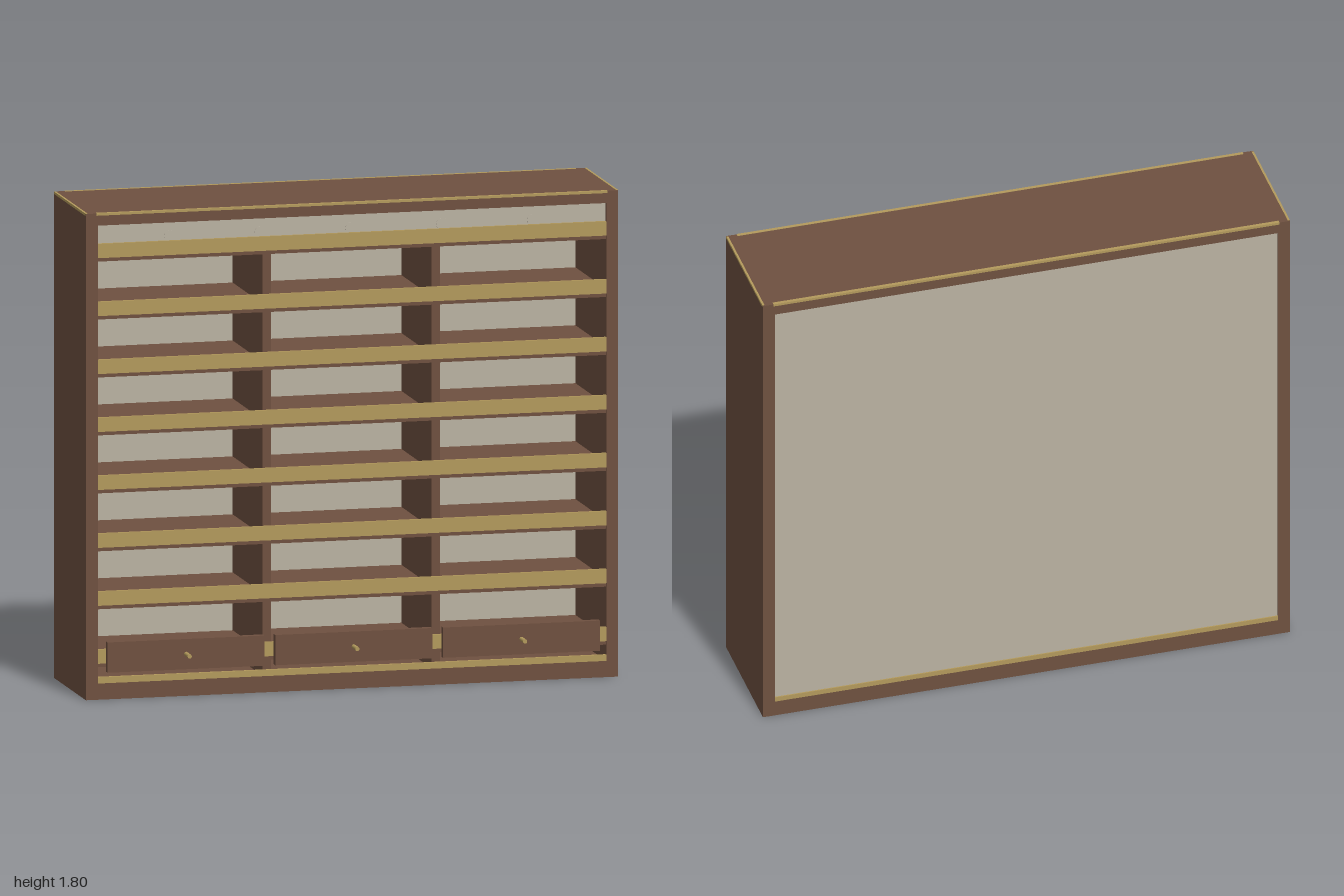
import * as THREE from 'three';

export function createModel() {
  const model = new THREE.Group();
  model.name = 'shelfCabinet';

  const mat = (name, color) => {
    const m = new THREE.MeshStandardMaterial({ color });
    m.name = name;
    return m;
  };
  const wood = mat('brown wood', 0x6f5140);
  const brass = mat('brass', 0xb39a5c);
  const panel = mat('grey panel', 0xbab2a2);

  // Box given by its lower and upper bounds on each axis
  const box = (name, material, [x0, x1], [y0, y1], [z0, z1], parent = model) => {
    const mesh = new THREE.Mesh(new THREE.BoxGeometry(x1 - x0, y1 - y0, z1 - z0), material);
    mesh.position.set((x0 + x1) / 2, (y0 + y1) / 2, (z0 + z1) / 2);
    mesh.name = name;
    parent.add(mesh);
    return mesh;
  };

  const H = 1.8, F = 0.2, B = -0.28, inner = 0.955;
  const span = [-inner, inner];

  // Carcass
  box('leftSide', wood, [inner, 1], [0, H], [B, F]);
  box('rightSide', wood, [-1, -inner], [0, H], [B, F]);
  box('topBoard', wood, span, [1.755, H], [B, F]);
  box('base', wood, span, [0, 0.06], [B, F]);
  box('backPanel', panel, span, [0.06, 1.755], [B + 0.005, B + 0.02]);

  // Upright dividers
  for (const x of [-0.317, 0.317]) {
    box('divider', wood, [x - 0.016, x + 0.016], [0.06, 1.62], [B + 0.02, F - 0.012]);
  }

  // Shelves with a brass lip along the front
  for (let i = 0; i < 8; i++) {
    const y = 0.12 + i * 0.2145;
    box('shelf', wood, span, [y, y + 0.03], [B + 0.02, F - 0.01]);
    box('shelfEdge', wood, span, [y, y + 0.013], [F - 0.01, F - 0.002]);
    box('shelfLip', brass, span, [y + 0.013, y + 0.066], [F - 0.01, F]);
  }

  // Header board with round light covers
  box('headerBoard', panel, span, [1.68, 1.755], [F - 0.025, F - 0.012]);
  for (let i = -2; i <= 2; i++) {
    const cover = new THREE.Mesh(new THREE.CylinderGeometry(0.022, 0.022, 0.004, 20), panel);
    cover.rotation.x = Math.PI / 2;
    cover.position.set(i * 0.341, 1.703, F - 0.0115);
    cover.name = 'lightCover';
    model.add(cover);
  }

  // Brass trim along the base and around the top
  box('baseTrimFront', brass, span, [0.06, 0.083], [F - 0.012, F]);
  box('baseTrimBack', brass, span, [0.06, 0.078], [B, B + 0.012]);
  box('topTrimFront', brass, [-0.96, 0.96], [H - 0.008, H + 0.001], [F - 0.012, F + 0.001]);
  box('topTrimBack', brass, [-0.96, 0.96], [H - 0.008, H + 0.001], [B - 0.001, B + 0.012]);
  for (const s of [-1, 1]) {
    const trim = box('topTrimSide', brass, [-0.004, 0.004], [H - 0.008, H + 0.001], [B + 0.005, F - 0.005]);
    trim.position.x = s * 0.997;
  }

  // Drawers with slim pulls
  for (const x of [-0.63, 0, 0.63]) {
    const drawer = new THREE.Group();
    drawer.name = 'drawer';
    drawer.position.x = x;
    box('drawerFront', wood, [-0.295, 0.295], [0.103, 0.215], [F, F + 0.025], drawer);
    const pull = new THREE.Mesh(new THREE.CylinderGeometry(0.008, 0.008, 0.055, 12), brass);
    pull.rotation.x = Math.PI / 2;
    pull.position.set(0, 0.16, F + 0.0525);
    pull.name = 'drawerPull';
    drawer.add(pull);
    model.add(drawer);
  }

  return model;
}
